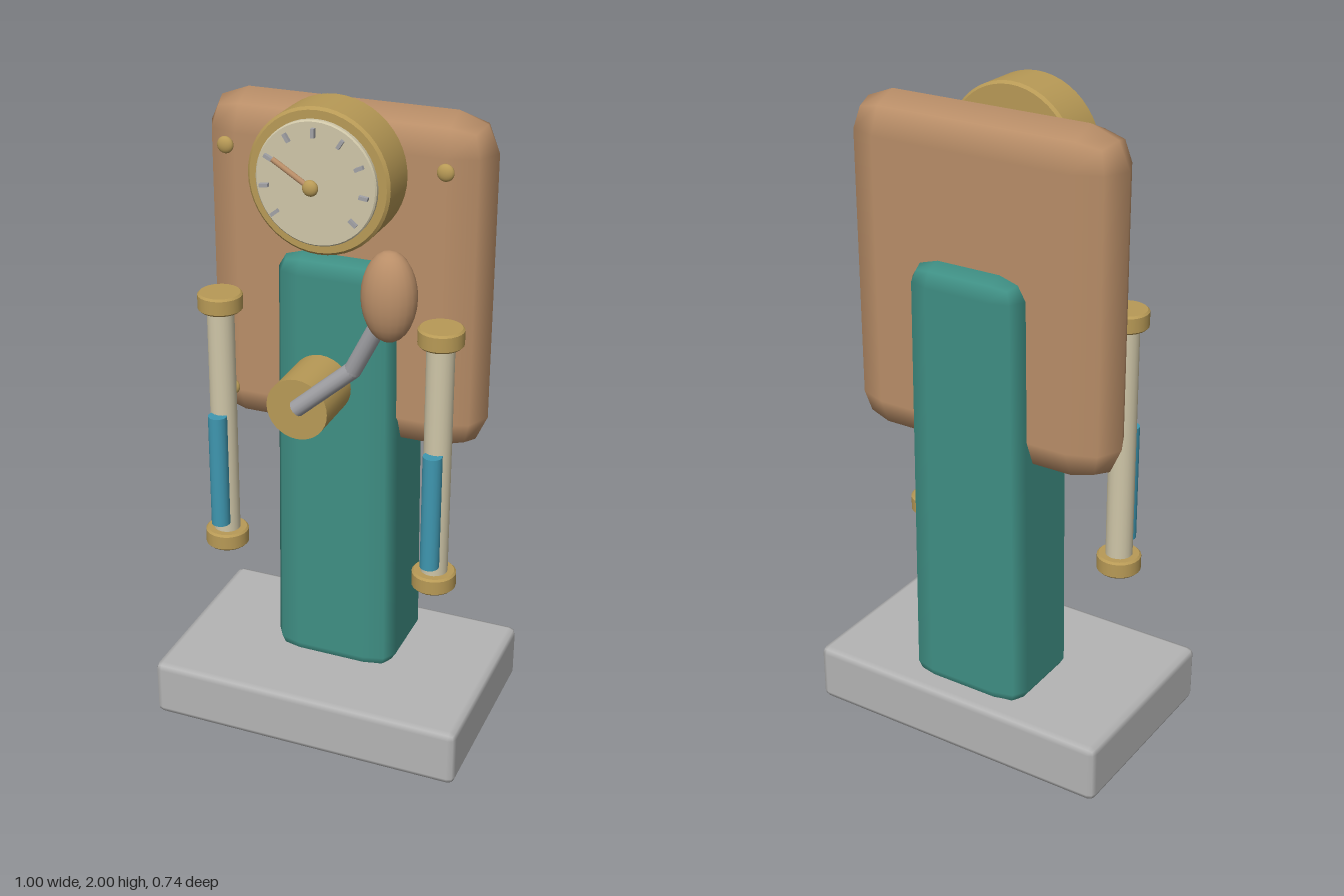
import * as THREE from 'three';

const mat = (name, color) => {
  const m = new THREE.MeshStandardMaterial({ color });
  m.name = name;
  return m;
};

// Box with softened edges; each axis has its own rounding radius
function softBox(w, h, d, rx, ry, rz, topScale = 1) {
  const geo = new THREE.BoxGeometry(2, 2, 2, 3, 3, 3);
  const pos = geo.attributes.position;
  const half = [w / 2, h / 2, d / 2], r = [rx, ry, rz];
  for (let i = 0; i < pos.count; i++) {
    const c = [pos.getX(i), pos.getY(i), pos.getZ(i)];
    const dir = new THREE.Vector3(...c.map(v => (Math.abs(v) > 0.5 ? Math.sign(v) : 0))).normalize();
    const p = c.map((v, k) => Math.sign(v) * (half[k] - r[k]) + dir.getComponent(k) * r[k]);
    p[0] *= 1 + (topScale - 1) * (p[1] / h + 0.5);
    pos.setXYZ(i, ...p);
    const n = new THREE.Vector3(dir.x / rx, dir.y / ry, dir.z / rz).normalize();
    geo.attributes.normal.setXYZ(i, n.x, n.y, n.z);
  }
  return geo;
}

// Short drum with a small bevel on both rims, axis along y
function drum(radius, height, bevel, sides = 32) {
  const h = height / 2;
  const pts = [[0, -h], [radius - bevel, -h], [radius, -h + bevel], [radius, h - bevel], [radius - bevel, h], [0, h]];
  // Doubled rim points keep the edges crisp
  const profile = pts.flatMap(([x, y], i) => {
    const v = new THREE.Vector2(x, y);
    return i === 0 || i === 5 ? [v] : [v, v.clone()];
  });
  return new THREE.LatheGeometry(profile, sides);
}

export function createModel() {
  const model = new THREE.Group();
  model.name = 'gaugeStand';

  const grey = mat('base grey', 0xb4b4b4);
  const teal = mat('teal', 0x3f8f84);
  const wood = mat('wood', 0xb98e68);
  const gold = mat('brass', 0xb89a56);
  const cream = mat('cream', 0xcfc6a8);
  const blue = mat('blue', 0x3f97b0);
  const steel = mat('steel', 0xa2a2a6);

  const add = (name, geo, material, x, y, z, parent = model) => {
    const mesh = new THREE.Mesh(geo, material);
    mesh.name = name;
    mesh.position.set(x, y, z);
    parent.add(mesh);
    return mesh;
  };
  const ball = (name, material, x, y, z, rx, ry, rz, parent = model) => {
    const mesh = add(name, new THREE.SphereGeometry(1, 20, 14), material, x, y, z, parent);
    mesh.scale.set(rx, ry, rz);
    return mesh;
  };
  // Straight round bar between two points
  const rod = (name, a, b, radius, material, parent = model) => {
    const va = new THREE.Vector3(...a), vb = new THREE.Vector3(...b);
    const mid = va.clone().add(vb).multiplyScalar(0.5);
    const mesh = add(name, new THREE.CylinderGeometry(radius, radius, va.distanceTo(vb), 14), material, mid.x, mid.y, mid.z, parent);
    mesh.quaternion.setFromUnitVectors(new THREE.Vector3(0, 1, 0), vb.sub(va).normalize());
    return mesh;
  };

  // Base, column and back board
  add('base', softBox(1, 0.185, 0.64, 0.022, 0.022, 0.022), grey, 0, 0.0925, -0.05);
  add('column', softBox(0.4, 1.38, 0.328, 0.09, 0.06, 0.06, 0.925), teal, 0, 0.84, -0.143);
  add('backBoard', softBox(0.872, 1.025, 0.21, 0.12, 0.11, 0.105), wood, 0, 1.4475, -0.139);

  // Board bolts
  for (const x of [-0.328, 0.328])
    for (const y of [1.07, 1.825]) ball('boardBolt', gold, x, y, 0, 0.025, 0.025, 0.014);

  // Round dial
  const dial = new THREE.Group();
  dial.name = 'dial';
  dial.position.set(0, 1.79, 0);
  model.add(dial);
  add('dialCase', drum(0.21, 0.147, 0.008, 48), gold, 0, 0, 0.0395, dial).rotation.x = Math.PI / 2;
  add('dialFace', drum(0.178, 0.03, 0.004, 48), cream, 0, 0, 0.113, dial).rotation.x = Math.PI / 2;
  for (let i = -4; i <= 4; i++) {
    const a = i * 0.56;
    const tick = add('dialTick', new THREE.BoxGeometry(0.01, 0.026, 0.012), steel,
      0.147 * Math.sin(a), 0.147 * Math.cos(a), 0.141, dial);
    tick.rotation.z = -a;
  }
  rod('needle', [0, 0, 0.161], [-0.111, 0.068, 0.161], 0.008, wood, dial);
  ball('needleHub', gold, 0, 0, 0.162, 0.023, 0.023, 0.015, dial);

  // Sight tubes on both sides
  for (const side of [-1, 1]) {
    const tube = new THREE.Group();
    tube.name = side > 0 ? 'leftSightTube' : 'rightSightTube';
    tube.position.set(side * 0.342, 0, 0.036);
    model.add(tube);
    add('tube', new THREE.CylinderGeometry(0.041, 0.041, 0.76, 20), cream, 0, 0.967, 0, tube);
    for (const y of [0.572, 1.362]) add('tubeCap', drum(0.067, 0.055, 0.006, 24), gold, 0, y, 0, tube);
    add('liquid', new THREE.CylinderGeometry(0.029, 0.029, 0.37, 16), blue, 0, 0.819, 0.044, tube);
  }

  // Crank: hub, bent arm and grip
  const crank = new THREE.Group();
  crank.name = 'crank';
  model.add(crank);
  add('crankHub', new THREE.CylinderGeometry(0.092, 0.092, 0.18, 32), gold, 0, 1.175, 0.179, crank).rotation.x = Math.PI / 2;
  const elbow = [0.17, 1.33, 0.272];
  rod('crankArmLower', [0, 1.18, 0.27], elbow, 0.025, steel, crank);
  rod('crankArmUpper', elbow, [0.275, 1.53, 0.305], 0.025, steel, crank);
  ball('crankElbow', steel, ...elbow, 0.025, 0.025, 0.025, crank);
  ball('crankGrip', wood, 0.285, 1.577, 0.308, 0.077, 0.128, 0.064, crank);

  return model;
}
